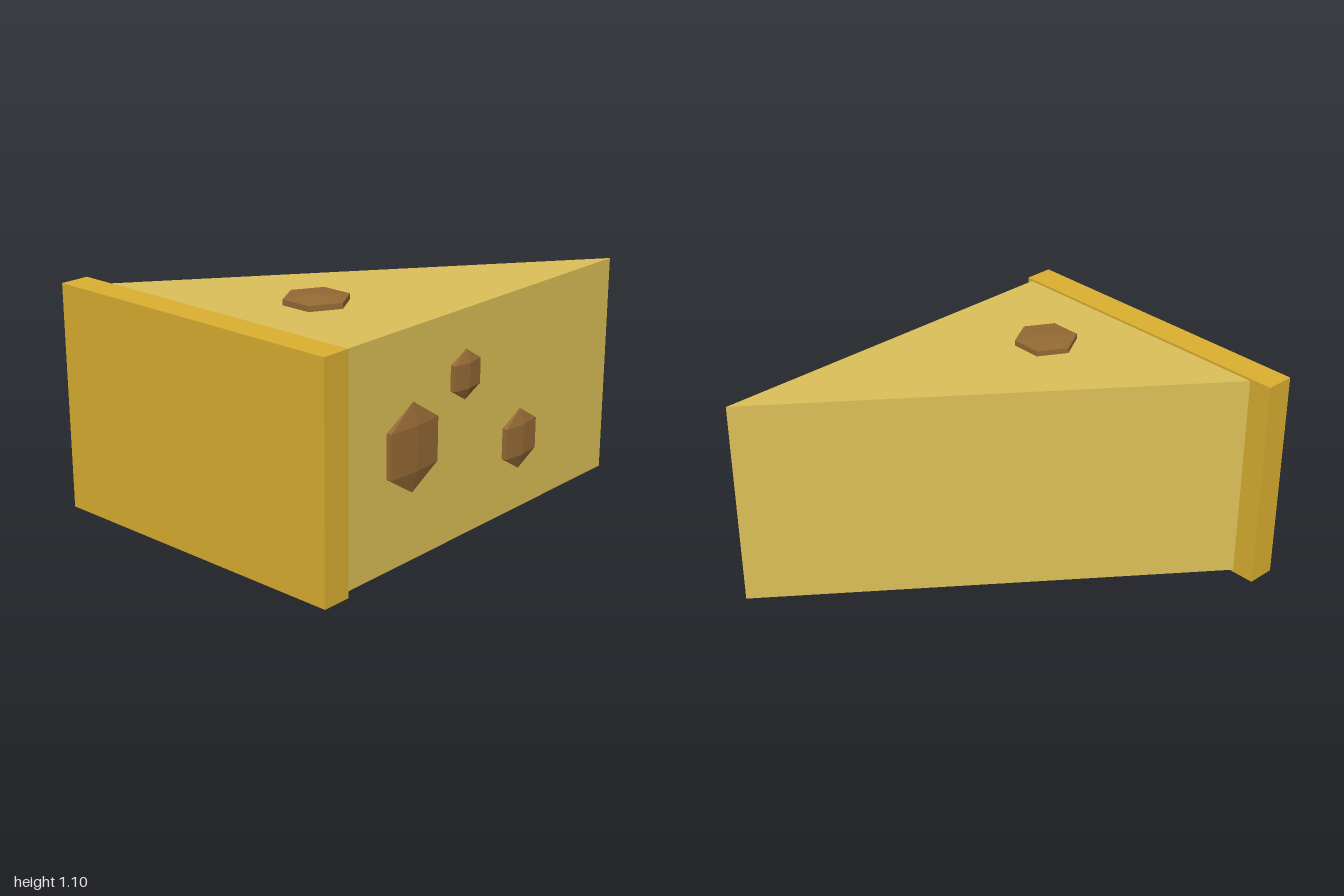
import * as THREE from 'three';

function material(name, color) {
  const m = new THREE.MeshStandardMaterial({ color });
  m.name = name;
  return m;
}

export function createModel() {
  const group = new THREE.Group();
  group.name = 'cheeseWedge';
  const cheese = material('pale cheese', 0xdcc058);
  const rind = material('golden rind', 0xdcb030);
  const brown = material('hole brown', 0x956a35);
  brown.flatShading = true;

  function add(name, geometry, mat) {
    const mesh = new THREE.Mesh(geometry, mat);
    mesh.name = name;
    group.add(mesh);
    return mesh;
  }

  // Triangular body, drawn in plan (shape y = -z) and raised upright
  const plan = new THREE.Shape([
    new THREE.Vector2(-0.86, -0.745),
    new THREE.Vector2(1, -0.745),
    new THREE.Vector2(-0.86, 0.675),
  ]);
  const body = new THREE.ExtrudeGeometry(plan, { depth: 1.043, bevelEnabled: false });
  body.rotateX(-Math.PI / 2);
  add('wedge', body, cheese).position.y = 0.012;

  // Rind slab along the broad end
  add('rind', new THREE.BoxGeometry(0.14, 1.066, 1.56), rind).position.set(-0.93, 0.533, -0.01);

  // Holes: coarse six-sided spheres squashed against the surface
  const blob = new THREE.SphereGeometry(1, 6, 3).rotateY(Math.PI / 6);
  const holes = [
    ['frontHoleLarge', [-0.45, 0.535, 0.76], [0.202, 0.202, 0.029]],
    ['frontHoleSmall', [-0.102, 0.767, 0.76], [0.115, 0.114, 0.029]],
    ['frontHoleMedium', [0.302, 0.361, 0.76], [0.145, 0.144, 0.029]],
    ['topHole', [-0.45, 1.069, 0.223], [0.173, 0.026, 0.173]],
  ];
  for (const [name, position, scale] of holes) {
    const hole = add(name, blob, brown);
    hole.position.set(...position);
    hole.scale.set(...scale);
  }
  return group;
}
